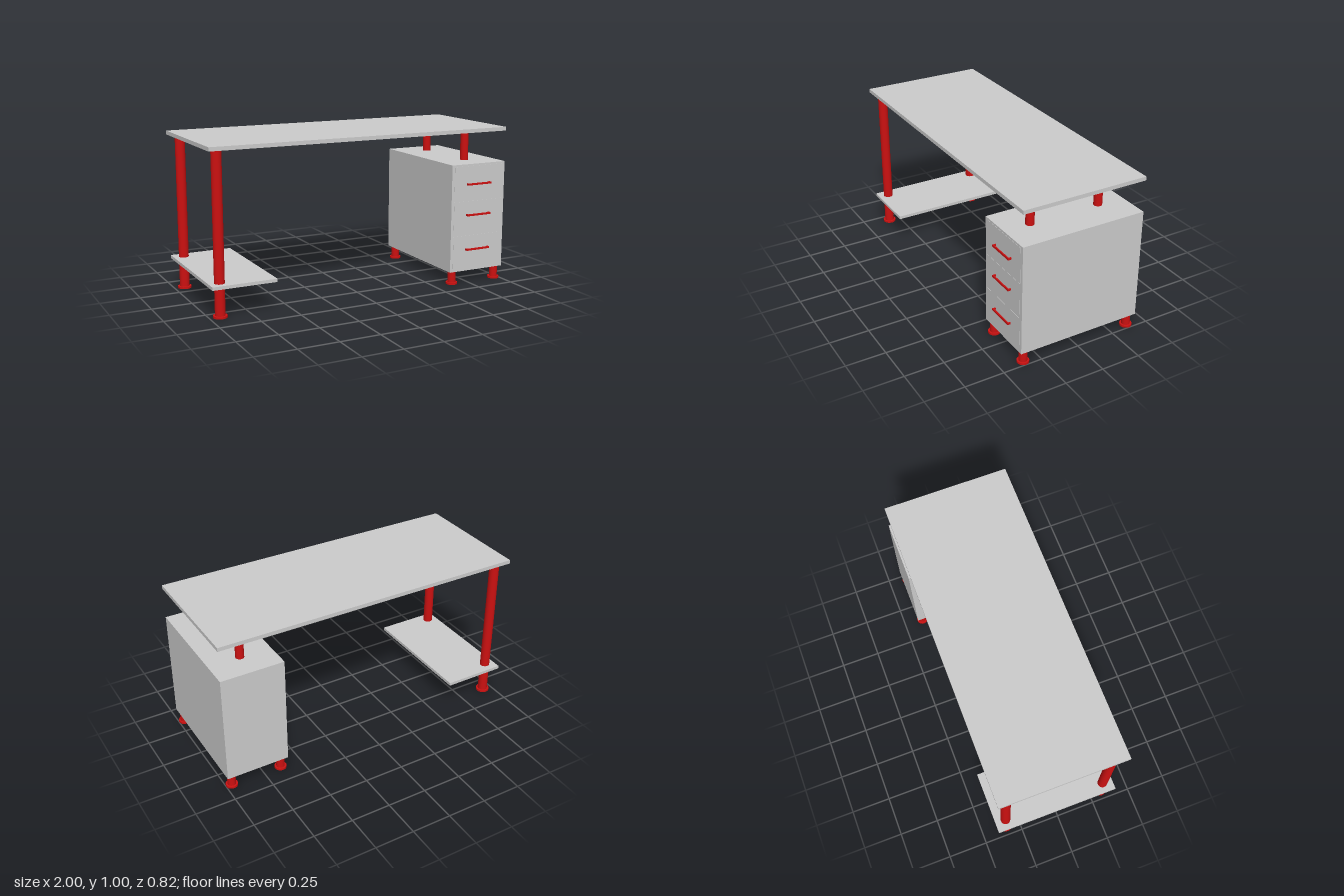
import * as THREE from 'three';

const grey = new THREE.MeshStandardMaterial({ color: 0xcccccc });
const red = new THREE.MeshStandardMaterial({ color: 0xcc1111 });

export function createModel() {
  const desk = new THREE.Group();
  desk.name = 'desk';

  // Box given by its minimum and maximum corners
  function box(name, [x0, y0, z0], [x1, y1, z1], material = grey, parent = desk) {
    const mesh = new THREE.Mesh(new THREE.BoxGeometry(x1 - x0, y1 - y0, z1 - z0), material);
    mesh.position.set((x0 + x1) / 2, (y0 + y1) / 2, (z0 + z1) / 2);
    mesh.name = name;
    parent.add(mesh);
  }

  // Upright round post between two heights
  function post(name, radius, x, z, y0, y1, parent = desk) {
    const mesh = new THREE.Mesh(new THREE.CylinderGeometry(radius, radius, y1 - y0, 24), red);
    mesh.position.set(x, (y0 + y1) / 2, z);
    mesh.name = name;
    parent.add(mesh);
  }

  // Leg standing on a wider disc foot
  function footedLeg(name, radius, footRadius, x, z, top) {
    const leg = new THREE.Group();
    leg.name = name;
    post('legTube', radius, x, z, 0.013, top, leg);
    post('footDisc', footRadius, x, z, 0, 0.013, leg);
    desk.add(leg);
  }

  // Desk top and low shelf
  box('deskTop', [-1, 0.981, -0.41], [1, 1.005, 0.39]);
  box('lowShelf', [-1, 0.185, -0.41], [-0.6, 0.205, 0.39]);

  // Tall legs passing through the shelf
  for (const z of [0.325, -0.342]) footedLeg('tallLeg', 0.031, 0.043, -0.935, z, 0.981);

  // Drawer cabinet, its short legs and the posts carrying the top
  box('cabinet', [0.6, 0.085, -0.41], [1, 0.783, 0.389]);
  for (const x of [0.636, 0.963])
    for (const z of [0.354, -0.373]) footedLeg('cabinetLeg', 0.026, 0.037, x, z, 0.085);
  for (const z of [0.221, -0.237]) post('topSupport', 0.026, 0.798, z, 0.783, 0.981);

  // Drawer fronts, each with a staple-shaped handle
  const drawers = [[0.097, 0.318, 0.228], [0.322, 0.543, 0.455], [0.547, 0.77, 0.655]];
  for (const [bottom, top, y] of drawers) {
    box('drawerFront', [0.62, bottom, 0.38], [0.978, top, 0.3905]);
    const handle = new THREE.Group();
    handle.name = 'drawerHandle';
    box('handleBar', [0.711, y - 0.006, 0.403], [0.885, y + 0.006, 0.411], red, handle);
    for (const x of [0.711, 0.877])
      box('handleEnd', [x, y - 0.006, 0.389], [x + 0.008, y + 0.006, 0.403], red, handle);
    desk.add(handle);
  }

  return desk;
}
